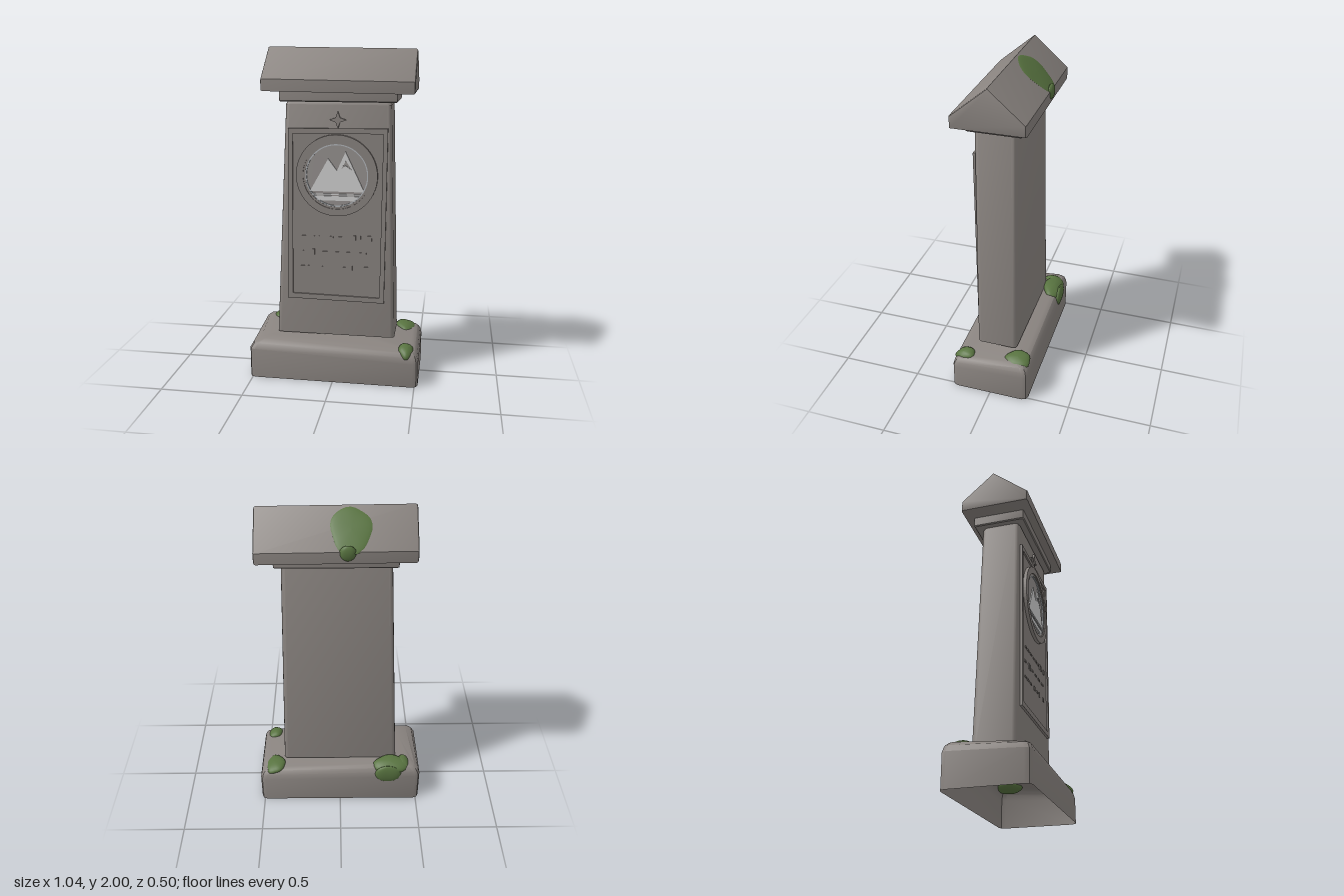
import * as THREE from 'three';
import { toCreasedNormals } from 'three/addons/utils/BufferGeometryUtils.js';

const paint = (name, color, side = THREE.FrontSide) => {
  const m = new THREE.MeshStandardMaterial({ color, side });
  m.name = name;
  return m;
};

// Rectangle ring with rounded corners, counter-clockwise seen from above
function ring(y, x0, x1, z0, z1, r, segs = 3) {
  const pts = [];
  const corners = [[x1 - r, z1 - r, 0], [x1 - r, z0 + r, 1], [x0 + r, z0 + r, 2], [x0 + r, z1 - r, 3]];
  for (const [cx, cz, q] of corners) {
    for (let i = 0; i <= segs; i++) {
      const a = (q - 1 + i / segs) * Math.PI / 2;
      pts.push(new THREE.Vector3(cx + Math.cos(a) * r, y, cz - Math.sin(a) * r));
    }
  }
  return pts;
}

// Skin through equal rings from bottom to top
function loft(rings, closeBottom = true, crease = 0.6) {
  const n = rings[0].length, pos = [], idx = [];
  const add = (p) => pos.push(p.x, p.y, p.z) / 3 - 1;
  rings.forEach((r) => r.forEach(add));
  for (let k = 0; k < rings.length - 1; k++) {
    for (let i = 0; i < n; i++) {
      const a = k * n + i, b = k * n + (i + 1) % n;
      idx.push(a, b, b + n, a, b + n, a + n);
    }
  }
  const cap = (k, up) => {
    const c = new THREE.Vector3();
    rings[k].forEach((p) => c.addScaledVector(p, 1 / n));
    const m = add(c);
    for (let i = 0; i < n; i++) {
      const a = k * n + i, b = k * n + (i + 1) % n;
      if (up) idx.push(m, a, b); else idx.push(m, b, a);
    }
  };
  cap(rings.length - 1, true);
  if (closeBottom) cap(0, false);
  const g = new THREE.BufferGeometry();
  g.setAttribute('position', new THREE.Float32BufferAttribute(pos, 3));
  g.setIndex(idx);
  return toCreasedNormals(g, crease);
}

const poly = (pts) => new THREE.Shape(pts.map(([x, y]) => new THREE.Vector2(x, y)));
const disc = (r) => new THREE.Shape().absarc(0, 0, r, 0, Math.PI * 2, false);

export function createModel() {
  const model = new THREE.Group();
  model.name = 'stoneMarker';
  const stone = paint('stone', 0x8a8480);
  const baseStone = paint('baseStone', 0x8a8480, THREE.DoubleSide);
  const medallion = paint('medallionStone', 0x969290);
  const pale = paint('paleStone', 0xd2d2d2);
  const rim = paint('paleRim', 0xb2b6ba);
  const moss = paint('moss', 0x587340);

  const add = (name, geo, mat, parent = model) => {
    const m = new THREE.Mesh(geo, mat);
    m.name = name;
    parent.add(m);
    return m;
  };
  // Flat plate raised from z0 to z1
  const plate = (name, shape, z0, z1, mat, parent = model) => {
    const g = new THREE.ExtrudeGeometry(shape, { depth: z1 - z0, bevelEnabled: false, curveSegments: 40 });
    return add(name, g.translate(0, 0, z0), mat, parent);
  };

  // Worn plinth, open underneath, sagging to the right and at one front corner
  const levels = [[0, 0], [0.2, 0], [0.235, 0.012], [0.257, 0.035], [0.268, 0.075]];
  const baseRings = levels.map(([y, d]) => {
    const r = ring(y, -0.52 + d, 0.52 - d * 0.7, -0.24 + d * 0.7, 0.25 - d * 0.8, 0.035, 2);
    for (const p of r) {
      if (y > 0.1 && p.x > 0) p.y -= p.z > 0 ? 0.05 : 0.025;
      if (y > 0.1 && p.x < 0 && p.z > 0) {
        p.x += d * 0.7;
        p.z -= d * 0.4;
        p.y -= 0.015;
      }
    }
    return r;
  });
  add('base', loft(baseRings, false, 0.5), baseStone);

  // Tapered pillar with softened edges
  add('pillar', loft([
    ring(0.262, -0.365, 0.365, -0.125, 0.128, 0.025),
    ring(1.68, -0.293, 0.327, -0.11, 0.128, 0.025),
    ring(1.70, -0.28, 0.315, -0.098, 0.116, 0.02),
  ]), stone);

  // Collar beneath the roof stone
  add('collar', loft([
    ring(1.697, -0.317, 0.359, -0.15, 0.159, 0.008, 2),
    ring(1.703, -0.323, 0.365, -0.156, 0.165, 0.01, 2),
    ring(1.76, -0.323, 0.365, -0.156, 0.165, 0.01, 2),
  ]), stone);

  // Gabled roof stone, slightly tilted
  const bevel = 0.012;
  const gable = poly([[-0.203, 1.766], [0.193, 1.766], [0.193, 1.817], [0, 1.984], [-0.203, 1.817]]);
  const roof = new THREE.ExtrudeGeometry(gable, {
    depth: 0.885 - 2 * bevel, bevelThickness: bevel, bevelSize: bevel, bevelSegments: 2,
  });
  roof.rotateY(Math.PI / 2).translate(-0.42 + bevel, 0, 0);
  const rp = roof.attributes.position;
  for (let i = 0; i < rp.count; i++) rp.setY(i, rp.getY(i) - 0.012 * (rp.getX(i) - 0.02));
  add('roof', toCreasedNormals(roof, 0.6), stone);

  // Raised frame on the front
  const frame = poly([[-0.292, 0.495], [0.3, 0.487], [0.31, 1.548], [-0.277, 1.54]]);
  frame.holes.push(poly([[-0.26, 0.527], [0.272, 0.519], [0.284, 1.516], [-0.25, 1.51]]));
  plate('frame', frame, 0.12, 0.143, stone);
  plate('innerPanel', poly([[-0.265, 0.52], [0.276, 0.512], [0.288, 1.52], [-0.255, 1.515]]), 0.12, 0.134, stone);

  // Four-pointed star above the frame
  const starPts = [];
  for (let i = 0; i < 8; i++) {
    const r = i % 2 ? 0.019 : 0.051, a = i * Math.PI / 4;
    starPts.push([0.018 + r * Math.cos(a), 1.593 + r * Math.sin(a)]);
  }
  plate('star', poly(starPts), 0.12, 0.14, stone);

  // Round medallion with nested rings
  const emblem = new THREE.Group();
  emblem.name = 'medallion';
  emblem.position.set(0.012, 1.267, 0);
  model.add(emblem);
  const hoop = (name, r1, r0, z1, mat) => {
    const s = disc(r1);
    s.holes.push(disc(r0));
    plate(name, s, 0.125, z1, mat, emblem);
  };
  hoop('outerRing', 0.242, 0.2, 0.154, stone);
  hoop('innerRing', 0.201, 0.187, 0.148, stone);
  hoop('paleRim', 0.188, 0.18, 0.146, rim);
  plate('medallionFace', disc(0.182), 0.125, 0.139, medallion, emblem);

  // Mountain relief with a notch below the higher peak
  const peaks = poly([[-0.16, -0.095], [0.165, -0.095], [0.053, 0.143], [0.002, 0.03], [-0.05, 0.1]]);
  peaks.holes.push(poly([[0.025, 0.035], [0.055, 0.09], [0.09, 0.035], [0.052, 0.062]]));
  plate('mountains', peaks, 0.139, 0.146, pale, emblem);
  plate('groundBand', poly([[-0.145, -0.11], [-0.14, -0.116], [0.14, -0.116], [0.145, -0.11]]), 0.139, 0.146, pale, emblem);
  plate('lowerBand', poly([[-0.135, -0.122], [-0.108, -0.15], [0.108, -0.15], [0.135, -0.122]]), 0.139, 0.146, pale, emblem);

  // Three rows of small raised marks: [x, width, height]
  const rows = [
    [0.89, [[-0.19, 0.025, 0.01], [-0.14, 0.035, 0.01], [-0.08, 0.035, 0.01], [-0.02, 0.02, 0.01], [0.03, 0.025, 0.01],
      [0.08, 0.03, 0.01], [0.12, 0.012, 0.03], [0.15, 0.012, 0.03], [0.21, 0.025, 0.03]]],
    [0.795, [[-0.205, 0.03, 0.012], [-0.13, 0.012, 0.035], [-0.1, 0.012, 0.035], [-0.06, 0.03, 0.01], [0.02, 0.03, 0.01],
      [0.09, 0.04, 0.01], [0.17, 0.04, 0.01]]],
    [0.7, [[-0.2, 0.03, 0.01], [-0.15, 0.03, 0.012], [-0.09, 0.035, 0.01], [-0.01, 0.025, 0.025], [0.05, 0.03, 0.01],
      [0.1, 0.012, 0.03], [0.19, 0.025, 0.022]]],
  ];
  const marks = new THREE.Group();
  marks.name = 'carvedMarks';
  model.add(marks);
  for (const [y, list] of rows) {
    for (const [x, w, h] of list) {
      add('mark', new THREE.BoxGeometry(w, h, 0.008).translate(x, y, 0.135), stone, marks);
    }
  }

  // Moss cushions: uneven flattened blobs
  const blob = (name, p, s, rx = 0, rz = 0) => {
    const g = new THREE.SphereGeometry(1, 28, 14);
    const a = g.attributes.position;
    for (let i = 0; i < a.count; i++) {
      const t = Math.atan2(a.getZ(i), a.getX(i));
      const k = 1 + 0.05 * Math.sin(3 * t + p[0] * 9) + 0.03 * Math.sin(5 * t);
      a.setXYZ(i, a.getX(i) * k, a.getY(i), a.getZ(i) * k);
    }
    g.computeVertexNormals();
    const m = add(name, g, moss);
    m.scale.set(...s);
    m.position.set(...p);
    m.rotation.set(rx, 0, rz);
  };
  const slope = -0.713;
  blob('roofMoss', [-0.06, 1.903, -0.108], [0.115, 0.014, 0.14], slope);
  blob('roofMossDrip', [-0.04, 1.815, -0.203], [0.045, 0.045, 0.018]);
  blob('backMoss', [-0.33, 0.255, -0.185], [0.115, 0.035, 0.065], -0.3);
  blob('backMossDrip', [-0.31, 0.215, -0.232], [0.085, 0.065, 0.022]);
  blob('sideMoss', [-0.41, 0.25, -0.165], [0.045, 0.035, 0.06], -0.1, 0.3);
  blob('rearCornerMoss', [0.425, 0.232, -0.155], [0.065, 0.03, 0.08], 0, -0.25);
  blob('frontCornerMoss', [0.443, 0.202, 0.182], [0.048, 0.036, 0.066], 0.3, -0.35);

  return model;
}
